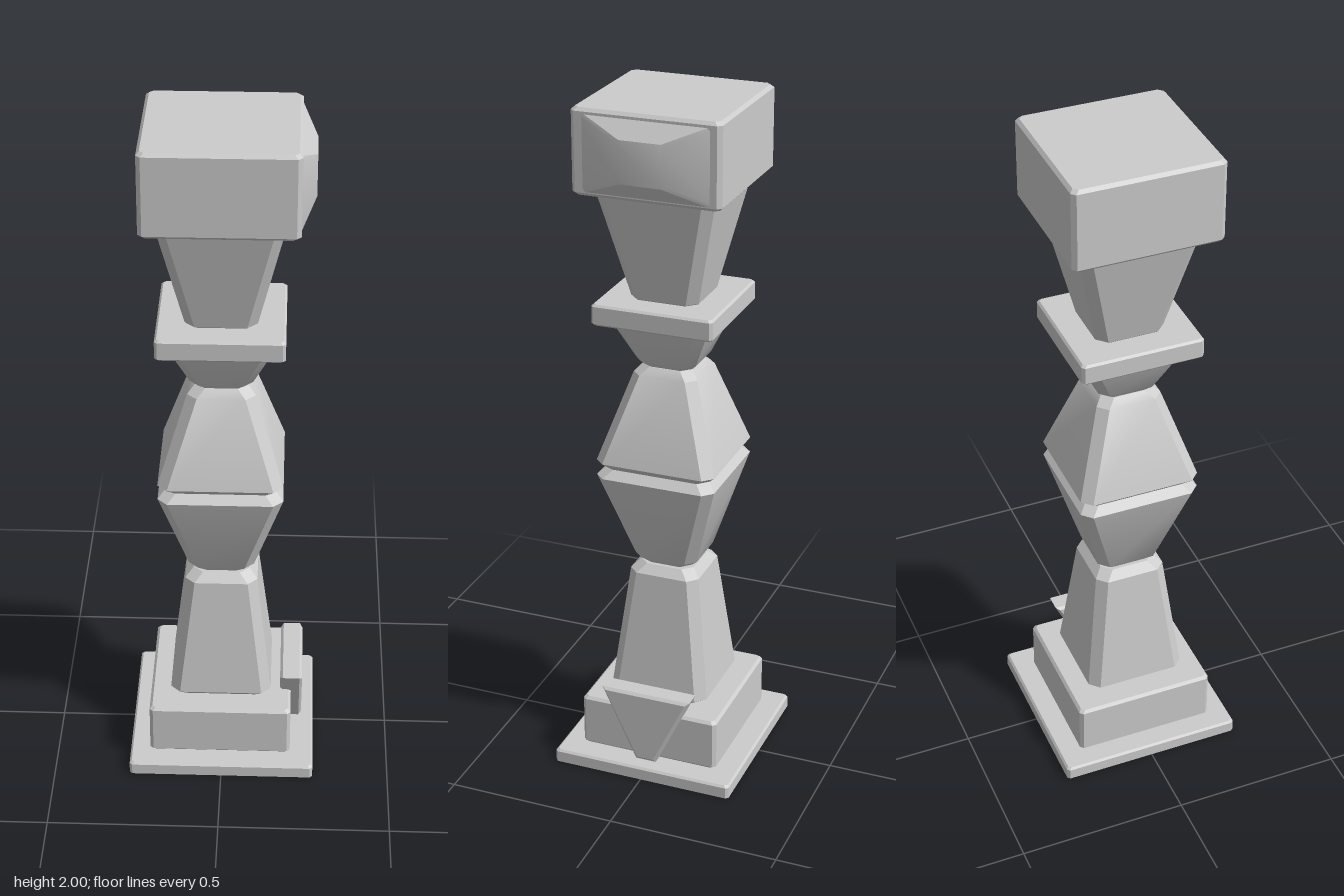
import * as THREE from 'three';
import { toCreasedNormals } from 'three/addons/utils/BufferGeometryUtils.js';

const material = new THREE.MeshStandardMaterial({ color: 0xcccccc });
const shellMaterial = new THREE.MeshStandardMaterial({ color: 0xcccccc, side: THREE.DoubleSide });

// Stacks chamfered rectangles; each ring is [y, half x, half z, corner chamfer]
function loft(rings, closedBottom = true) {
  const pos = [];
  const index = [];
  for (const [y, hx, hz, c] of rings) {
    const quarter = [[hx, hz - c], [hx - c, hz]];
    const corners = [
      ...quarter,
      ...quarter.map(([x, z]) => [-x, z]).reverse(),
      ...quarter.map(([x, z]) => [-x, -z]),
      ...quarter.map(([x, z]) => [x, -z]).reverse(),
    ];
    for (const [x, z] of corners) pos.push(x, y, -z);
  }
  const last = (rings.length - 1) * 8;
  for (let r = 0; r < last; r += 8) {
    for (let j = 0; j < 8; j++) {
      const k = (j + 1) % 8;
      index.push(r + j, r + k, r + 8 + k, r + j, r + 8 + k, r + 8 + j);
    }
  }
  for (let j = 1; j < 7; j++) {
    index.push(last, last + j, last + j + 1);
    if (closedBottom) index.push(0, j + 1, j);
  }
  const geometry = new THREE.BufferGeometry();
  geometry.setAttribute('position', new THREE.Float32BufferAttribute(pos, 3));
  geometry.setIndex(index);
  return toCreasedNormals(geometry, 0.5);
}

// Square block with a bevel at both ends
const block = (y0, w0, y1, w1, bevel, chamfer) => loft([
  [y0, w0 - bevel, w0 - bevel, chamfer],
  [y0 + bevel, w0, w0, chamfer],
  [y1 - bevel, w1, w1, chamfer],
  [y1, w1 - bevel, w1 - bevel, chamfer],
]);

export function createModel() {
  const group = new THREE.Group();
  const add = (name, geometry, x = -0.005, z = 0.002, mat = material) => {
    const mesh = new THREE.Mesh(geometry, mat);
    mesh.name = name;
    mesh.position.set(x, 0, z);
    group.add(mesh);
  };

  // Thin foot plate, hollow underneath
  add('footPlate', loft([
    [0, 0.275, 0.275, 0.008],
    [0.034, 0.275, 0.275, 0.008],
    [0.04, 0.269, 0.269, 0.008],
  ], false), 0, 0, shellMaterial);

  // Stacked column, bottom to top
  add('plinth', block(0.04, 0.211, 0.2, 0.211, 0.008, 0.01));
  add('lowerShaft', block(0.195, 0.15, 0.615, 0.106, 0.024, 0.028));
  add('vaseLower', block(0.612, 0.096, 0.942, 0.178, 0.028, 0.028));
  add('vaseUpper', block(0.938, 0.178, 1.235, 0.096, 0.022, 0.028));
  add('cup', block(1.23, 0.088, 1.385, 0.137, 0.022, 0.026));
  add('collar', block(1.378, 0.178, 1.44, 0.178, 0.006, 0.008));
  add('neck', block(1.435, 0.1, 1.77, 0.173, 0.008, 0.028));
  add('capital', block(1.76, 0.213, 2, 0.213, 0.009, 0.012));

  // Shallow raised panel on the side of the capital
  const panel = loft([
    [0.2, 0.115, 0.203, 0.008],
    [0.247, 0.06, 0.067, 0.008],
  ]);
  panel.rotateZ(-Math.PI / 2).translate(0, 1.878, 0);
  add('capitalPanel', panel, 0, 0);

  // Downward-pointing wedge against the plinth
  const outline = new THREE.Shape([
    [-0.025, 0.052], [0.025, 0.052], [0.125, 0.26], [-0.125, 0.26],
  ].map(([x, y]) => new THREE.Vector2(x, y)));
  const wedge = new THREE.ExtrudeGeometry(outline, {
    depth: 0.05, bevelEnabled: true, bevelSize: 0.01, bevelThickness: 0.008, bevelSegments: 1,
  });
  wedge.rotateY(Math.PI / 2).translate(0.181, 0, 0);
  add('wedge', wedge, 0, 0);

  return group;
}
